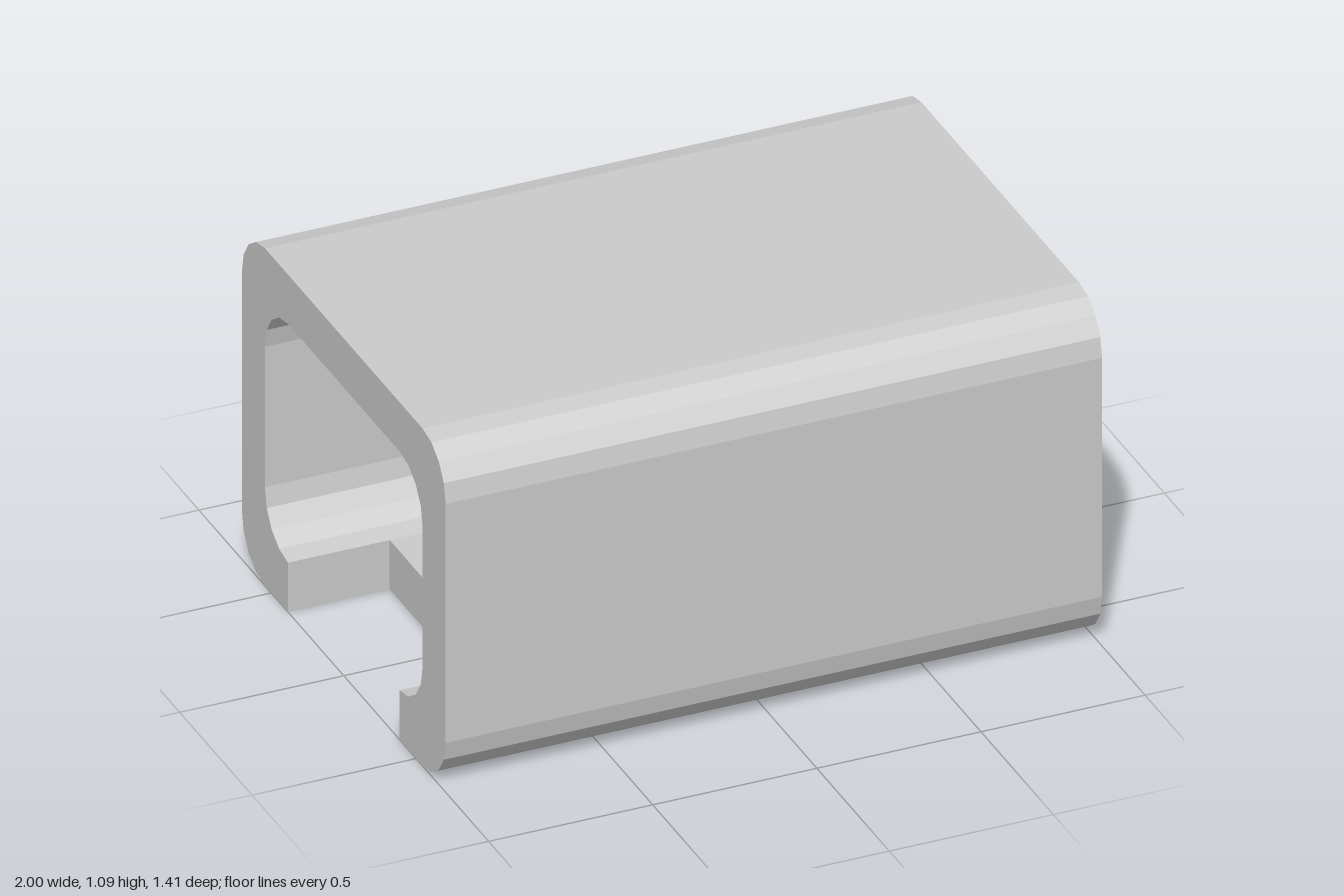
import * as THREE from 'three';
import { mergeGeometries } from 'three/addons/utils/BufferGeometryUtils.js';

const H = 1.089;          // height
const W = 0.703;          // half depth
const T = 0.159;          // wall thickness, also the radius of every corner
const LIP = W - 2 * T;    // half width of the notches
const FLOOR = 0.69;       // half length of the floor between the notches

// Rounded C section, open along the bottom
function sectionShape() {
  const s = new THREE.Shape();
  const q = Math.PI / 2, o = W - T;
  s.moveTo(LIP, 0);
  s.lineTo(o, 0);
  s.absarc(o, T, T, -q, 0, false);
  s.absarc(o, H - T, T, 0, q, false);
  s.absarc(-o, H - T, T, q, 2 * q, false);
  s.absarc(-o, T, T, 2 * q, 3 * q, false);
  s.lineTo(-LIP, 0);
  s.absarc(-LIP, 2 * T, T, -q, -2 * q, true);
  s.absarc(-LIP, H - 2 * T, T, 2 * q, q, true);
  s.absarc(LIP, H - 2 * T, T, q, 0, true);
  s.absarc(LIP, 2 * T, T, 0, -q, true);
  return s;
}

// Drop the faces hidden in the seam where the floor meets the lips
function withoutSeams(geometry) {
  const p = geometry.attributes.position;
  const kept = [];
  for (let i = 0; i < p.count; i += 3) {
    const seam = Math.sign(p.getZ(i)) * LIP;
    const hidden = [i, i + 1, i + 2].every((k) =>
      Math.abs(p.getZ(k) - seam) < 1e-4 &&
      Math.abs(p.getX(k)) < FLOOR + 1e-4 && p.getY(k) < T + 1e-4);
    if (!hidden) for (let k = i; k < i + 3; k++) kept.push(p.getX(k), p.getY(k), p.getZ(k));
  }
  const g = new THREE.BufferGeometry();
  g.setAttribute('position', new THREE.Float32BufferAttribute(kept, 3));
  g.computeVertexNormals();
  return g;
}

export function createModel() {
  const group = new THREE.Group();
  group.name = 'notchedTube';

  // Walls and top: three lengths, split where the notches end
  const walls = new THREE.ExtrudeGeometry(sectionShape(), {
    depth: 3, steps: 3, curveSegments: 2, bevelEnabled: false,
  });
  const stations = [-1, -FLOOR, FLOOR, 1];
  const p = walls.attributes.position;
  for (let i = 0; i < p.count; i++) p.setZ(i, stations[Math.round(p.getZ(i))]);
  walls.rotateY(Math.PI / 2);

  // Floor between the two end notches
  const floor = new THREE.BoxGeometry(2 * FLOOR, T, 2 * LIP).toNonIndexed();
  floor.translate(0, T / 2, 0);

  const geometry = withoutSeams(mergeGeometries([walls, floor]));
  const tube = new THREE.Mesh(geometry, new THREE.MeshStandardMaterial({ color: 0xcccccc, flatShading: true }));
  tube.name = 'tubeBody';
  group.add(tube);
  return group;
}
